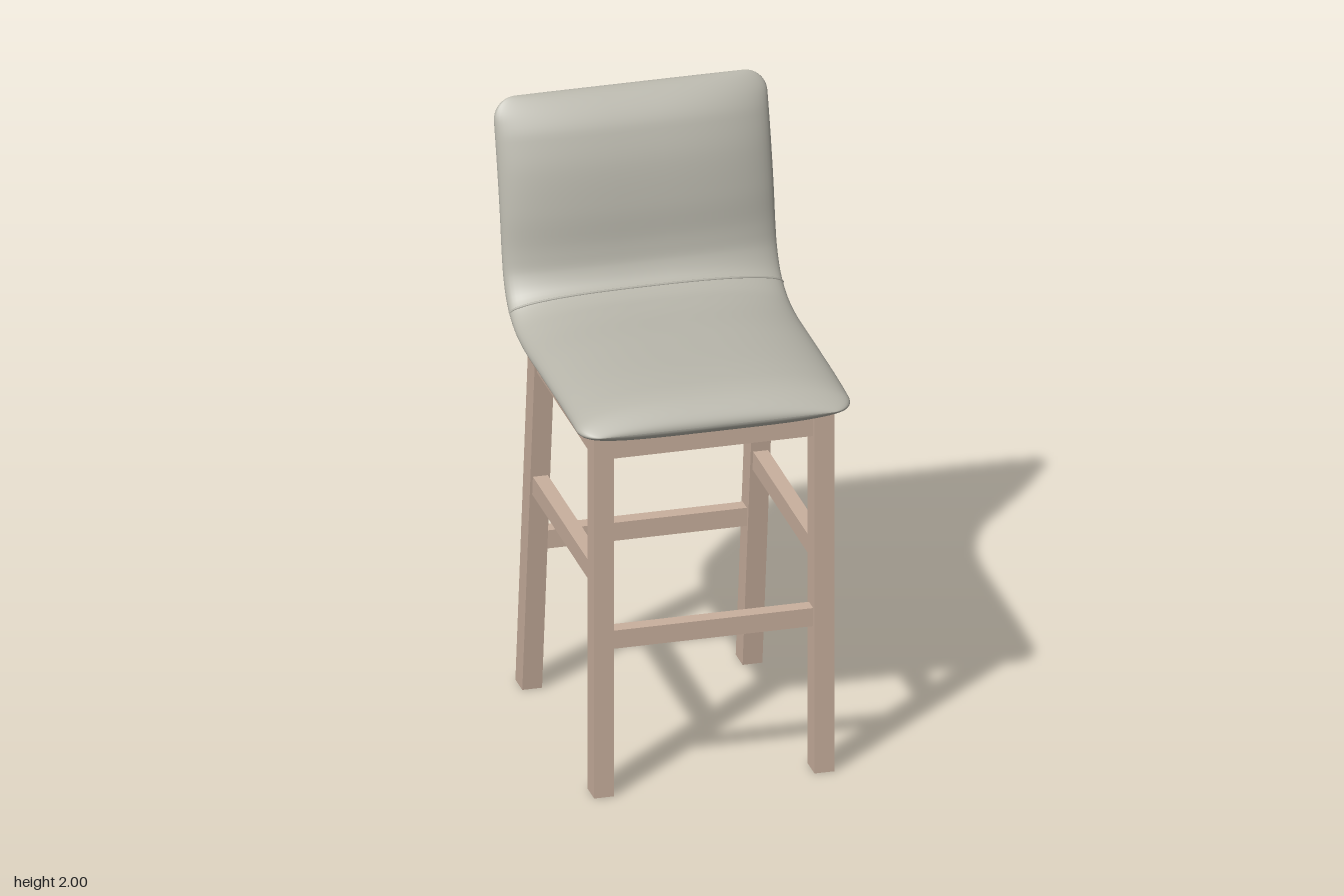
import * as THREE from 'three';
import { mergeVertices } from 'three/addons/utils/BufferGeometryUtils.js';

const fabric = new THREE.MeshStandardMaterial({ color: 0xb8b6ab });
fabric.name = 'grey upholstery';
const wood = new THREE.MeshStandardMaterial({ color: 0xc9b09e });
wood.name = 'pale wood';

// Side-on centre line of the cushion: z, y, padding in front/above, padding behind/below
const spineData = [
  [0.55, 1.277, 0.06, 0.04],
  [0.47, 1.283, 0.08, 0.045],
  [0.3, 1.289, 0.089, 0.046],
  [0.05, 1.29, 0.09, 0.045],
  [-0.17, 1.293, 0.087, 0.046],
  [-0.27, 1.314, 0.078, 0.058],
  [-0.345, 1.36, 0.07, 0.068],
  [-0.39, 1.43, 0.068, 0.066],
  [-0.412, 1.51, 0.07, 0.062],
  [-0.433, 1.63, 0.08, 0.062],
  [-0.462, 1.76, 0.086, 0.058],
  [-0.493, 1.88, 0.076, 0.05],
  [-0.527, 2.0, 0.05, 0.04],
];
const curveOf = (f) => new THREE.CatmullRomCurve3(spineData.map(f), false, 'centripetal');
const spine = curveOf((p) => new THREE.Vector3(0, p[1], p[0]));
const padding = curveOf((p) => new THREE.Vector3(p[2], p[3], 0));
const tips = [spine.getPoint(0), spine.getPoint(1)];

// Quarter-circle rise from 0 at the tip to 1 at distance r
const round = (d, r) => (d >= r ? 1 : Math.sqrt(Math.max(0, 1 - (1 - d / r) ** 2)));

// Point on the cushion at u along the spine and angle a around the cross-section
function cushionPoint(u, a, extra = 0) {
  const c = spine.getPoint(u);
  const t = spine.getTangent(u);
  const pad = padding.getPoint(u);
  const d = Math.min(c.distanceTo(tips[0]), c.distanceTo(tips[1]));
  const w = 0.45 - 0.075 * (1 - round(d, 0.075));
  const cos = Math.cos(a), sin = Math.sin(a), upper = sin > 0;
  const x = w * Math.sign(cos) * Math.abs(cos) ** (upper ? 0.75 : 0.5);
  const thick = upper ? pad.x * round(d, 0.14) : pad.y * round(d, 0.06);
  const o = sin * thick + extra;
  return new THREE.Vector3(x, c.y - t.z * o, c.z + t.y * o);
}

function cushionGeometry() {
  const rows = 90, cols = 64;
  const pos = [], index = [];
  for (let k = 0; k <= rows; k++) {
    const u = 0.5 - 0.5 * Math.cos((Math.PI * k) / rows);
    for (let j = 0; j < cols; j++) pos.push(...cushionPoint(u, (2 * Math.PI * j) / cols).toArray());
  }
  for (let k = 0; k < rows; k++) {
    for (let j = 0; j < cols; j++) {
      const a = k * cols + j, b = k * cols + ((j + 1) % cols);
      index.push(a, a + cols, b, b, a + cols, b + cols);
    }
  }
  const g = new THREE.BufferGeometry();
  g.setAttribute('position', new THREE.Float32BufferAttribute(pos, 3));
  g.setIndex(index);
  const merged = mergeVertices(g, 1e-5);
  merged.computeVertexNormals();
  return merged;
}

export function createModel() {
  const model = new THREE.Group();
  model.name = 'barStool';

  function add(name, geometry, material) {
    const mesh = new THREE.Mesh(geometry, material);
    mesh.name = name;
    model.add(mesh);
    return mesh;
  }
  // Wooden bar given by its extents
  function bar(name, x0, x1, y0, y1, z0, z1) {
    add(name, new THREE.BoxGeometry(x1 - x0, y1 - y0, z1 - z0), wood)
      .position.set((x0 + x1) / 2, (y0 + y1) / 2, (z0 + z1) / 2);
  }

  // One-piece upholstered seat and back
  add('seatAndBack', cushionGeometry(), fabric);

  // Seam where the seat meets the back
  const seamPoints = [];
  for (let i = 0; i <= 24; i++) seamPoints.push(cushionPoint(0.47, Math.PI * (0.01 + (0.98 * i) / 24)));
  add('backSeam', new THREE.TubeGeometry(new THREE.CatmullRomCurve3(seamPoints), 48, 0.004, 6), fabric);

  // Back legs rake rearward towards the floor
  const rake = 0.155 / 1.25;
  const backZ = (y) => -0.408 + rake * y;

  for (const s of [1, -1]) {
    const side = s > 0 ? 'left' : 'right';
    const span = (a, b) => (s > 0 ? [a, b] : [-b, -a]);
    bar(side + 'FrontLeg', ...span(0.33, 0.395), 0, 1.25, 0.413, 0.496);

    const leg = new THREE.BoxGeometry(0.065, 1.26, 0.083);
    leg.translate(s * 0.3625, 0.63, 0);
    const p = leg.attributes.position;
    for (let i = 0; i < p.count; i++) p.setZ(i, p.getZ(i) + backZ(p.getY(i)));
    leg.computeVertexNormals();
    add(side + 'BackLeg', leg, wood);

    bar(side + 'SideApron', ...span(0.338, 0.387), 1.17, 1.25, -0.24, 0.42);
    bar(side + 'SideStretcher', ...span(0.338, 0.387), 0.72, 0.785, -0.3, 0.42);
  }

  // Cross rails at the front and back
  for (const [name, y0, y1] of [['Apron', 1.17, 1.25], ['Stretcher', 0.507, 0.57]]) {
    const z = backZ((y0 + y1) / 2);
    bar('front' + name, -0.335, 0.335, y0, y1, 0.43, 0.48);
    bar('back' + name, -0.335, 0.335, y0, y1, z - 0.025, z + 0.025);
  }

  return model;
}
